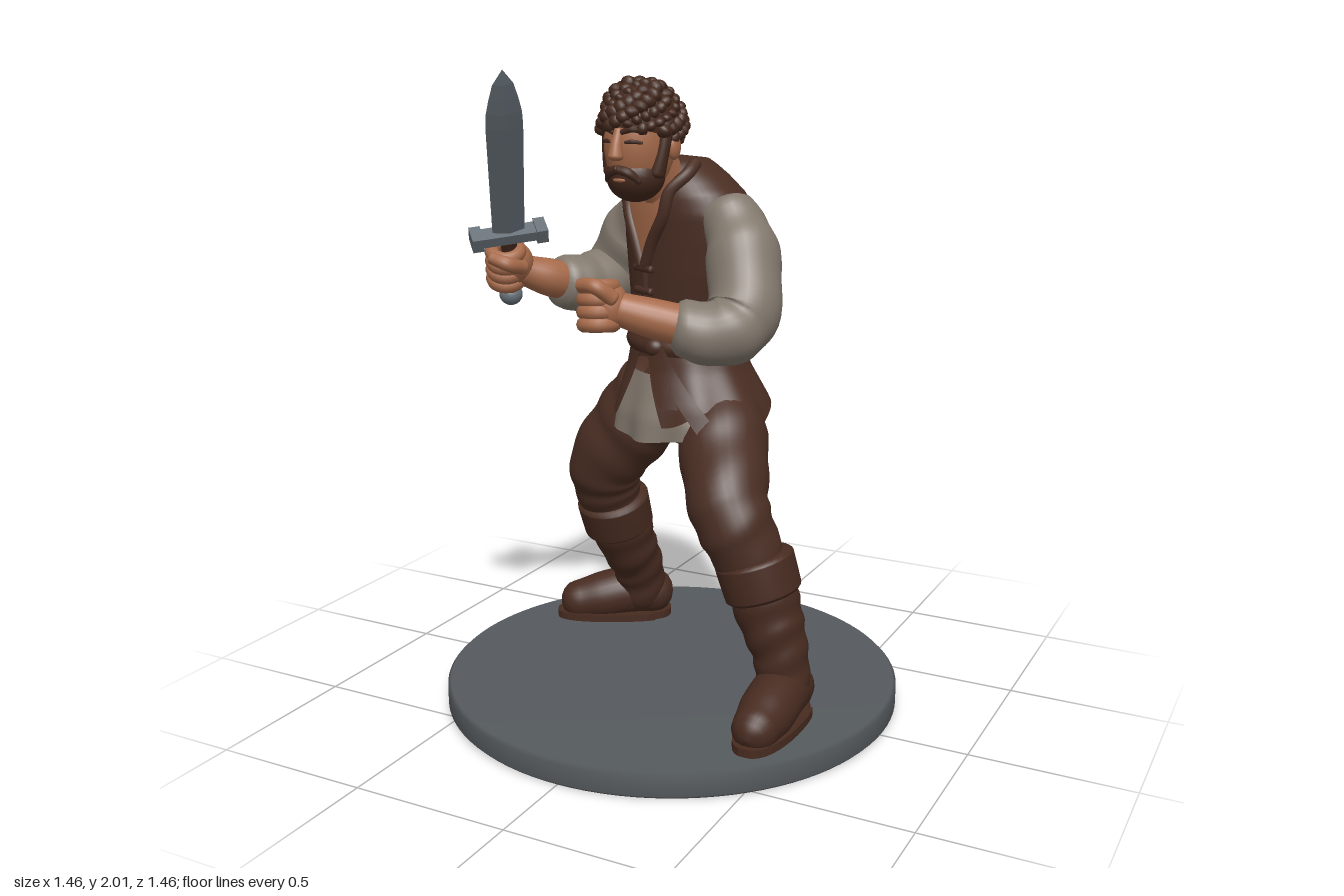
import * as THREE from 'three';

const V = (x, y, z) => new THREE.Vector3(x, y, z);
const TAU = Math.PI * 2;
const YAW = -0.47; // the body is turned toward its right

function mat(name, color, double) {
  const m = new THREE.MeshStandardMaterial({ color });
  m.name = name;
  if (double) m.side = THREE.DoubleSide;
  return m;
}

// Grid surface from f(u, v) -> Vector3; u runs around, v runs up
function surface(f, nu, nv, closed = true) {
  const pos = [], idx = [], w = closed ? nu : nu + 1;
  for (let j = 0; j <= nv; j++) for (let i = 0; i < w; i++) pos.push(...f(i / nu, j / nv).toArray());
  for (let j = 0; j < nv; j++) for (let i = 0; i < nu; i++) {
    const a = j * w + i, b = j * w + (i + 1) % w;
    idx.push(a, b, b + w, a, b + w, a + w);
  }
  const g = new THREE.BufferGeometry();
  g.setAttribute('position', new THREE.Float32BufferAttribute(pos, 3));
  g.setIndex(idx);
  g.computeVertexNormals();
  return g;
}

// Round-ended tube through [x, y, z, radius] points, with optional cloth folds
function limb(pts, { seg = 24, sides = 20, fold = 0, freq = 30, cap = 0.5, post } = {}) {
  const curve = new THREE.CatmullRomCurve3(pts.map(p => V(p[0], p[1], p[2])));
  const radius = new THREE.SplineCurve(pts.map((p, i) => new THREE.Vector2(i, p[3])));
  const rows = [];
  let n = null;
  for (let k = 0; k <= seg; k++) {
    const t = k / seg, c = curve.getPoint(t), d = curve.getTangent(t);
    n = n || (Math.abs(d.y) < 0.8 ? V(0, 1, 0) : V(0, 0, 1));
    n = n.clone().addScaledVector(d, -n.dot(d)).normalize();
    rows.push({ c, d, n, b: d.clone().cross(n), r: radius.getPoint(t).y, t });
  }
  const caps = (row, s) => [1, 2, 3, 4].map(j => {
    const a = j * Math.PI / 8;
    return { ...row, c: row.c.clone().addScaledVector(row.d, s * cap * row.r * Math.sin(a)), r: row.r * Math.cos(a) };
  });
  const all = [...caps(rows[0], -1).reverse(), ...rows, ...caps(rows[seg], 1)];
  return surface((u, v) => {
    const q = all[Math.round(v * (all.length - 1))], a = u * TAU;
    const r = q.r * (1 + fold * Math.sin(q.t * freq + 1.8 * Math.cos(a + q.t * 3)));
    const p = q.c.clone().addScaledVector(q.n, r * Math.cos(a)).addScaledVector(q.b, r * Math.sin(a));
    return post ? post(p) : p;
  }, sides, all.length - 1);
}

// Upright body section: rows of [y, centre x, centre z, half width, half depth]
function bodyShape(rows) {
  return (y, a, off = 0) => {
    let i = 0;
    while (i < rows.length - 2 && y > rows[i + 1][0]) i++;
    const A = rows[i], B = rows[i + 1], t = THREE.MathUtils.clamp((y - A[0]) / (B[0] - A[0]), 0, 1);
    const [, cx, cz, rx, rz] = A.map((q, k) => q + (B[k] - q) * t);
    const lx = (rx + off) * Math.sin(a), lz = (rz + off) * Math.cos(a), c = Math.cos(YAW), s = Math.sin(YAW);
    return V(cx + lx * c + lz * s, y, cz - lx * s + lz * c);
  };
}

export function createModel() {
  const model = new THREE.Group();
  const brown = mat('brown cloth', 0x4a2e23, true), leather = mat('boot leather', 0x472b20);
  const shirt = mat('linen', 0x83796e, true), skin = mat('skin', 0xa66a4a);
  const hair = mat('dark hair', 0x43281c), steel = mat('steel', 0x677077), stone = mat('base grey', 0x555a5e);
  const add = (name, geo, m, parent = model) => {
    const mesh = new THREE.Mesh(geo, m);
    mesh.name = name;
    parent.add(mesh);
    return mesh;
  };
  const group = (name, parent = model) => {
    const g = new THREE.Group();
    g.name = name;
    parent.add(g);
    return g;
  };
  const ball = (name, m, parent, p, s) => {
    const b = add(name, new THREE.SphereGeometry(1, 24, 16), m, parent);
    b.position.set(...p);
    b.scale.set(...s);
    return b;
  };

  // Round base with softened rims
  const rim = [[0, 0], [0.72, 0], [0.73, 0.01], [0.73, 0.07], [0.72, 0.08], [0, 0.08]];
  const baseGeo = new THREE.LatheGeometry(rim.map(p => new THREE.Vector2(...p)), 96);
  add('base', baseGeo, stone);

  // Legs, boots and feet
  const legs = [
    { side: 'left', thigh: [[0.13, 0.98, -0.06, 0.14], [0.21, 0.86, 0.06, 0.138], [0.29, 0.73, 0.19, 0.122], [0.335, 0.64, 0.2, 0.112], [0.38, 0.53, 0.17, 0.1]],
      shaft: [[0.375, 0.55, 0.175, 0.105], [0.42, 0.4, 0.17, 0.1], [0.455, 0.28, 0.165, 0.085], [0.468, 0.16, 0.165, 0.082]],
      cuff: [[0.4, 0.475, 0.175, 0.118], [0.37, 0.575, 0.18, 0.122]], foot: [0.468, 0.165, 0.02] },
    { side: 'right', thigh: [[-0.1, 0.98, -0.1, 0.14], [-0.2, 0.86, -0.11, 0.138], [-0.3, 0.72, -0.11, 0.125], [-0.32, 0.63, -0.14, 0.112], [-0.31, 0.53, -0.18, 0.1]],
      shaft: [[-0.31, 0.55, -0.18, 0.105], [-0.305, 0.4, -0.245, 0.1], [-0.3, 0.28, -0.32, 0.088], [-0.305, 0.16, -0.36, 0.082]],
      cuff: [[-0.308, 0.47, -0.2, 0.118], [-0.312, 0.57, -0.165, 0.122]], foot: [-0.31, -0.365, -1.03] }];
  for (const L of legs) {
    const g = group(L.side + 'Leg');
    add('trouserLeg', limb(L.thigh, { seg: 40, sides: 28, fold: 0.025, freq: 32 }), brown, g);
    add('bootShaft', limb(L.shaft, { seg: 40, sides: 28, fold: 0.03, freq: 30 }), leather, g);
    add('bootCuff', limb(L.cuff, { sides: 28, cap: 0.2 }), leather, g);
    const f = group('foot', g);
    f.position.set(L.foot[0], 0.09, L.foot[1]);
    f.rotation.y = L.foot[2];
    add('shoe', limb([[0, 0.075, -0.04, 0.08], [0, 0.08, 0.04, 0.085], [0, 0.06, 0.14, 0.084], [0, 0.045, 0.225, 0.07]],
      { cap: 0.9, sides: 28, post: p => p.setY(Math.max(p.y, 0)) }), leather, f);
    const sole = new THREE.Shape();
    sole.moveTo(-0.07, 0.03);
    sole.bezierCurveTo(-0.09, 0.13, -0.12, -0.32, 0, -0.3);
    sole.bezierCurveTo(0.12, -0.32, 0.09, 0.13, 0.07, 0.03);
    sole.bezierCurveTo(0.07, 0.13, -0.07, 0.13, -0.07, 0.03);
    const s = add('sole', new THREE.ExtrudeGeometry(sole, { depth: 0.025, bevelEnabled: false, curveSegments: 16 }), leather, f);
    s.rotation.x = -Math.PI / 2;
    s.position.y = -0.01;
  }
  const hips = ball('hips', brown, model, [0.02, 0.97, -0.08], [0.21, 0.14, 0.17]);
  hips.rotation.y = YAW;

  // Vest body
  const torso = bodyShape([[1.13, 0.015, -0.08, 0.185, 0.16], [1.2, 0.01, -0.08, 0.185, 0.158], [1.3, 0.02, -0.085, 0.212, 0.172],
    [1.4, 0.028, -0.083, 0.235, 0.18], [1.5, 0.03, -0.078, 0.25, 0.182], [1.58, 0.03, -0.065, 0.245, 0.176],
    [1.64, 0.022, -0.05, 0.215, 0.16], [1.69, 0.012, -0.038, 0.165, 0.135], [1.725, 0.005, -0.028, 0.12, 0.112], [1.75, 0, -0.02, 0.085, 0.085], [1.752, 0, 0, 0.002, 0.002]]);
  add('vest', surface((u, v) => torso(1.13 + 0.622 * v, u * TAU), 48, 40), brown);
  // Open neckline with lapels, front seam and toggles
  const open = y => 0.04 + 0.6 * Math.max(0, y - 1.44) / 0.25;
  add('openNeckline', surface((u, v) => {
    const y = 1.44 + 0.26 * v;
    return torso(y, (u * 2 - 1) * open(y), 0.005);
  }, 12, 16, false), skin);
  for (const s of [-1, 1]) {
    const edge = [1.42, 1.5, 1.58, 1.65, 1.7, 1.73].map((y, i) => [...torso(y, s * (open(y) + (i > 3 ? (i - 3) * 0.35 : 0)), 0.002).toArray(), 0.02]);
    add('lapel', limb(edge, { sides: 10 }), brown);
  }
  add('frontSeam', limb([1.2, 1.28, 1.36, 1.44].map(y => [...torso(y, 0.02).toArray(), 0.012]), { sides: 10 }), brown);
  for (const y of [1.26, 1.34, 1.41])
    add('toggle', limb([-0.17, 0, 0.17].map(a => [...torso(y, a, 0.006).toArray(), 0.012]), { sides: 10, seg: 10 }), leather);

  // Split vest skirt, belt and hanging belt end
  const skirt = bodyShape([[0.9, 0.04, -0.08, 0.295, 0.245], [1.0, 0.035, -0.08, 0.262, 0.22], [1.1, 0.02, -0.08, 0.212, 0.182], [1.19, 0.01, -0.08, 0.186, 0.16]]);
  add('vestSkirt', surface((u, v) => {
    const away = Math.abs(u - 0.5) * TAU; // angle from the middle of the back
    const hem = 0.965 - 0.03 * Math.cos(4 * away) + 0.08 * Math.exp(-away * away * 60);
    const y = hem + (1.19 - hem) * v, gap = 0.05 + 0.38 * (1 - v);
    const a = gap + u * (TAU - 2 * gap);
    return skirt(y, a, 0.006 * (1 - v) * Math.sin(a * 9));
  }, 80, 12, false), brown);
  add('belt', surface((u, v) => skirt(1.145 + 0.06 * v, u * TAU, 0.004 + 0.014 * Math.sin(v * Math.PI)), 48, 8), leather);
  ball('beltKnot', leather, model, torso(1.17, 0.3, 0.015).toArray(), [0.035, 0.03, 0.03]);
  for (const [a0, a1, end] of [[0.35, 1.02, 0.93], [0.3, 0.55, 1.0]])
    add('beltEnd', surface((u, v) => skirt(end + (1.18 - end) * v, a1 + (a0 - a1) * v + (u - 0.5) * 0.26, 0.022), 4, 14, false), leather);
  // Shirt hem below the vest
  const tail = bodyShape([[0.82, 0.025, -0.08, 0.285, 0.228], [0.95, 0.025, -0.075, 0.268, 0.21], [1.08, 0.02, -0.08, 0.2, 0.17]]);
  add('shirtHem', surface((u, v) => {
    const a = u * TAU, c = Math.cos(a), hem = 0.93 - (c < 0 ? 0.095 : 0.055) * c * c;
    return tail(hem + (1.08 - hem) * v, a, 0.01 * (1 - v) * Math.sin(a * 10));
  }, 80, 12), shirt);

  // Sleeves and forearms
  const arms = [
    { side: 'left', sleeve: [[0.21, 1.59, 0.04, 0.085], [0.275, 1.48, 0.08, 0.108], [0.31, 1.3, 0.165, 0.108], [0.275, 1.265, 0.225, 0.1], [0.18, 1.275, 0.275, 0.085]],
      fore: [[0.22, 1.275, 0.26, 0.062], [0.1, 1.31, 0.325, 0.058], [0.02, 1.335, 0.365, 0.05]] },
    { side: 'right', sleeve: [[-0.15, 1.58, -0.15, 0.085], [-0.235, 1.47, -0.19, 0.108], [-0.305, 1.34, -0.19, 0.108], [-0.335, 1.32, -0.08, 0.1], [-0.375, 1.335, 0.02, 0.085]],
      fore: [[-0.35, 1.325, -0.03, 0.06], [-0.4, 1.355, 0.07, 0.06], [-0.455, 1.385, 0.14, 0.048]] }];
  for (const A of arms) {
    const g = group(A.side + 'Arm');
    add('sleeve', limb(A.sleeve, { seg: 44, sides: 28, fold: 0.03, freq: 28 }), shirt, g);
    add('forearm', limb(A.fore), skin, g);
  }

  // Closed fist around its local y axis, knuckles toward +z
  const fist = (name, parent) => {
    const g = group(name, parent);
    ball('palm', skin, g, [0, 0, -0.02], [0.06, 0.07, 0.055]);
    for (let i = 0; i < 4; i++) {
      const f = add('finger', new THREE.TorusGeometry(0.042, 0.023, 10, 24), skin, g);
      f.rotation.x = Math.PI / 2;
      f.position.set(0, -0.054 + i * 0.036, 0.012);
    }
    add('thumb', limb([[0.05, 0.02, -0.03, 0.024], [0.065, 0.055, 0.02, 0.023], [0.03, 0.06, 0.062, 0.02]], { sides: 12 }), skin, g);
    return g;
  };
  const left = fist('leftFist', model);
  left.position.set(-0.025, 1.345, 0.385);
  left.rotation.set(0, -1.05, 0.15);
  ball('knuckles', skin, left, [0, 0, 0.012], [0.045, 0.07, 0.045]);

  // Dagger, built upward from the pommel
  const dagger = group('dagger');
  const up = V(0.23, 0.7, 0.36).normalize(), across = V(0.17, 0.027, -0.16);
  across.addScaledVector(up, -across.dot(up)).normalize();
  dagger.quaternion.setFromRotationMatrix(new THREE.Matrix4().makeBasis(across, up, across.clone().cross(up)));
  dagger.position.set(-0.515, 1.3, 0.12);
  ball('pommel', steel, dagger, [0, 0, 0], [0.037, 0.034, 0.037]);
  add('grip', new THREE.CylinderGeometry(0.025, 0.025, 0.24, 16), leather, dagger).position.y = 0.12;
  add('guard', new THREE.BoxGeometry(0.17, 0.032, 0.055), steel, dagger).position.y = 0.24;
  for (const s of [-1, 1]) add('guardEnd', new THREE.BoxGeometry(0.035, 0.045, 0.07), steel, dagger).position.set(s * 0.1, 0.24, 0);
  let blade = new THREE.CylinderGeometry(1, 1, 0.575, 4, 12);
  const bp = blade.attributes.position;
  for (let i = 0; i < bp.count; i++) {
    const t = bp.getY(i) / 0.575 + 0.5, w = t < 0.72 ? 0.05 + 0.008 * t : 0.056 * Math.sqrt(Math.max(0, (1 - t) / 0.28));
    bp.setX(i, bp.getX(i) * w);
    bp.setZ(i, bp.getZ(i) * w * 0.3);
  }
  blade = blade.toNonIndexed();
  blade.computeVertexNormals();
  add('blade', blade, steel, dagger).position.y = 0.54;
  const grip = fist('rightFist', dagger);
  grip.position.y = 0.125;
  grip.rotation.y = -Math.PI / 2;

  // Neck and head
  add('neck', limb([[0.01, 1.6, 0.01, 0.085], [0, 1.68, 0.07, 0.075], [-0.015, 1.77, 0.13, 0.075]]), skin);
  const head = group('head');
  head.position.set(-0.02, 1.8, 0.16);
  head.rotation.y = -0.1;
  ball('face', skin, head, [0, 0, 0.005], [0.1, 0.165, 0.118]);
  add('nose', limb([[0, 0.035, 0.112, 0.014], [0, -0.01, 0.126, 0.018], [0, -0.04, 0.13, 0.023]], { sides: 12 }), skin, head);
  ball('beard', hair, head, [0, -0.1, 0.028], [0.087, 0.077, 0.088]);
  ball('lip', skin, head, [0, -0.107, 0.106], [0.026, 0.008, 0.012]);
  for (const s of [-1, 1]) {
    ball('ear', skin, head, [s * 0.106, -0.015, -0.015], [0.018, 0.038, 0.026]);
    add('brow', limb([[s * 0.015, 0.03, 0.119, 0.008], [s * 0.045, 0.04, 0.11, 0.01], [s * 0.075, 0.03, 0.083, 0.007]], { sides: 8 }), hair, head);
    add('eye', limb([[s * 0.025, 0.002, 0.117, 0.005], [s * 0.045, 0.004, 0.107, 0.007], [s * 0.066, 0, 0.091, 0.005]], { sides: 8 }), hair, head);
    add('moustache', limb([[0, -0.076, 0.118, 0.013], [s * 0.03, -0.085, 0.11, 0.014], [s * 0.055, -0.11, 0.088, 0.011]], { sides: 10 }), hair, head);
    add('sideburn', limb([[s * 0.1, 0.06, 0.012, 0.022], [s * 0.096, -0.02, 0.027, 0.02], [s * 0.078, -0.09, 0.035, 0.026]], { sides: 12 }), hair, head);
  }
  // Hair cap with a hairline that drops toward the nape, and rows of curls
  const scalp = (a, t, grow = 1) => {
    const low = 1.62 + 0.55 * (0.5 - 0.5 * Math.cos(a)), p = low * t;
    return V(0.113 * Math.sin(p) * Math.sin(a) * grow, 0.05 + 0.125 * Math.cos(p) * grow, -0.01 + 0.137 * Math.sin(p) * Math.cos(a) * grow);
  };
  add('hairCap', surface((u, v) => scalp(u * TAU, 1 - v), 40, 20), hair, head);
  for (let i = 0; i < 110; i++) {
    const p = scalp(i * 2.39996, Math.sqrt((i + 0.5) / 110), 0.96), s = 0.021 + 0.005 * Math.sin(i * 5.3);
    const c = add('curl', new THREE.SphereGeometry(1, 10, 8), hair, head);
    c.position.copy(p);
    c.scale.set(s, s * 0.8, s);
    c.rotation.set(i, i * 0.7, 0);
  }
  return model;
}
